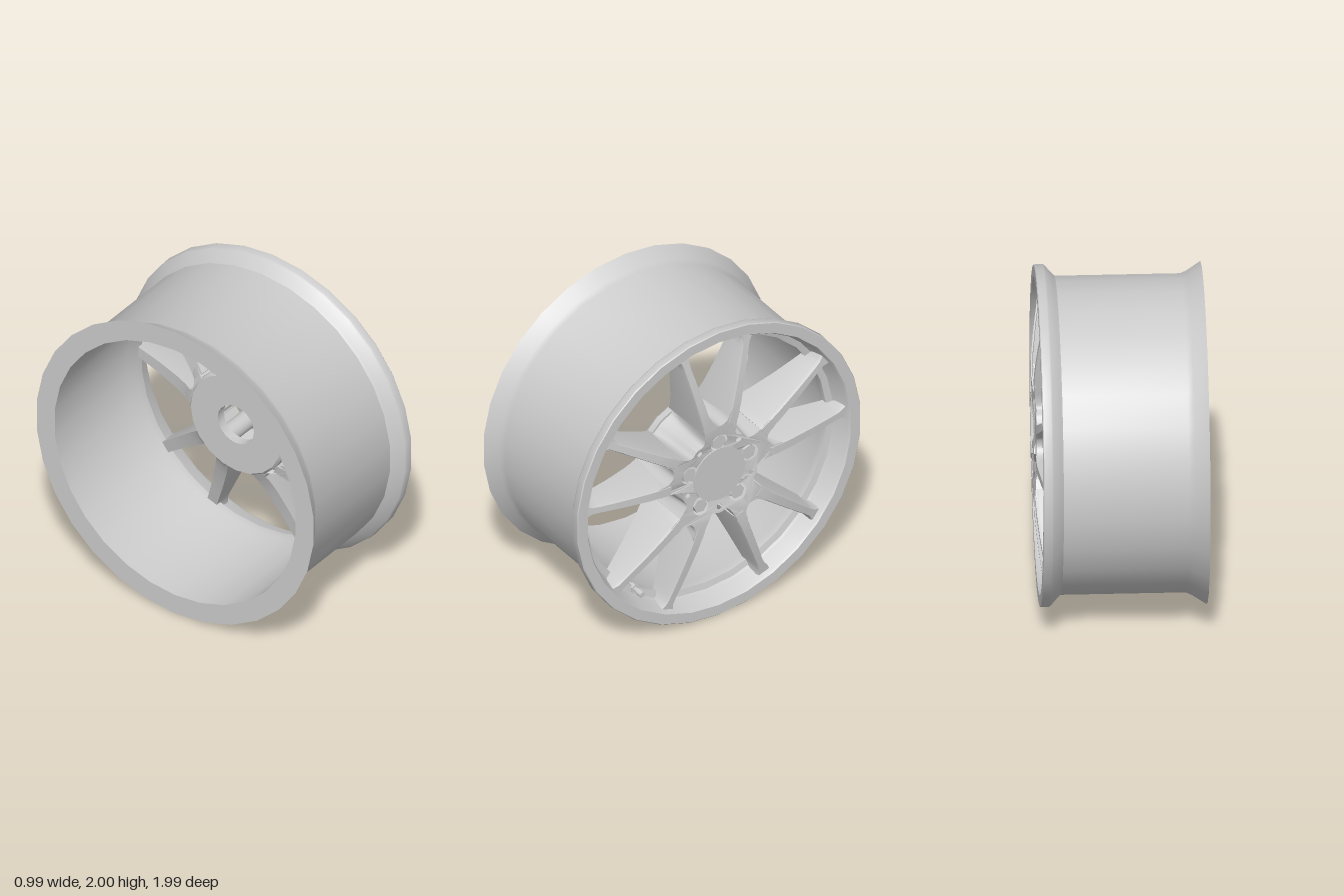
import * as THREE from 'three';
import { toCreasedNormals } from 'three/addons/utils/BufferGeometryUtils.js';

const material = new THREE.MeshStandardMaterial({ color: 0xcccccc });
const rad = THREE.MathUtils.degToRad;
const lerp = THREE.MathUtils.lerp;

// Point at radius r, angle in degrees clockwise from the top
const polar = (deg, r) => new THREE.Vector2(r * Math.sin(rad(deg)), r * Math.cos(rad(deg)));

// Piecewise linear lookup in [x, y] pairs
function sample(table, x) {
  if (x <= table[0][0]) return table[0][1];
  for (let i = 1; i < table.length; i++) {
    const [x0, y0] = table[i - 1], [x1, y1] = table[i];
    if (x <= x1) return lerp(y0, y1, (x - x0) / (x1 - x0));
  }
  return table[table.length - 1][1];
}

// Height of the front face by radius: dished centre, crest, then falling to the rim
const faceHeight = r => sample([[0.2, 0.465], [0.3, 0.487], [0.46, 0.49], [0.68, 0.468], [0.91, 0.435]], r);
const spokeBack = r => sample([[0.33, 0.13], [0.45, 0.19], [0.65, 0.25], [0.91, 0.31]], r);

function add(parent, name, geometry) {
  const mesh = new THREE.Mesh(geometry, material);
  mesh.name = name;
  parent.add(mesh);
  return mesh;
}

// Cylinder along the axle between two depths
function disc(r0, r1, z0, z1, sides) {
  return toCreasedNormals(new THREE.CylinderGeometry(r1, r0, z1 - z0, sides)
    .rotateX(Math.PI / 2).translate(0, 0, (z0 + z1) / 2), 0.6);
}

function ring(profile, sides) {
  const points = profile.map(([r, z]) => new THREE.Vector2(r, z));
  return toCreasedNormals(new THREE.LatheGeometry(points, sides).rotateX(Math.PI / 2), 0.6);
}

// Star-shaped hub with bolt pockets; side scoops slope outward to the back
function hubGeometry() {
  const half = [[36, 0.272], [25, 0.268], [19.5, 0.33], [17.2, 0.44], [10.5, 0.44], [7.5, 0.375], [0, 0.347]];
  const sector = [...half.map(([a, r]) => [-a, r]), ...half.slice(1, -1).reverse()];
  const outline = [];
  for (let k = 0; k < 5; k++)
    for (const [a, r] of sector) {
      const p = polar(a + 72 * k, r);
      outline.push(new THREE.Vector3(p.x, p.y, 0));
    }
  const curve = new THREE.CatmullRomCurve3(outline, true);
  const shape = new THREE.Shape(curve.getPoints(240).slice(0, -1).map(p => new THREE.Vector2(p.x, p.y)));
  const hole = (c, r) => shape.holes.push(new THREE.Path().absarc(c.x, c.y, r, 0, Math.PI * 2, true));
  hole(new THREE.Vector2(), 0.13);
  for (let k = 0; k < 5; k++) {
    hole(polar(72 * k, 0.22), 0.058);
    hole(polar(72 * k + 36, 0.233), 0.017);
  }
  const geometry = new THREE.ExtrudeGeometry(shape, { depth: 1, bevelEnabled: false, steps: 3, curveSegments: 8 });
  const pos = geometry.attributes.position;
  for (let i = 0; i < pos.count; i++) {
    const x = pos.getX(i), y = pos.getY(i), t = pos.getZ(i);
    const r = Math.hypot(x, y);
    const a = THREE.MathUtils.euclideanModulo(Math.atan2(x, y) * 180 / Math.PI + 36, 72) - 36;
    const scoop = r > 0.255 && r < 0.335 && Math.abs(a) > 16;
    const s = scoop ? lerp(0.335, r, Math.sqrt(t)) / r : 1;
    const back = sample([[0.33, 0.12], [0.44, 0.19]], r);
    pos.setXYZ(i, x * s, y * s, lerp(back, faceHeight(r) - 0.003, t));
  }
  return toCreasedNormals(geometry, 0.6);
}

// Tapering spoke lofted through chamfered cross-sections
function spokeGeometry(side) {
  const start = new THREE.Vector2(0.085, 0.34), end = new THREE.Vector2(0.224, 0.88);
  const dir = end.clone().sub(start).normalize();
  const stations = [0, 0.12, 0.25, 0.4, 0.55, 0.7, 0.85, 0.94, 1.01];
  const positions = [], index = [], n = 6;
  for (const t of stations) {
    const c = start.clone().lerp(end, t), r = c.length();
    const flare = t > 0.93 ? (t - 0.93) * 0.25 : 0;
    const w = lerp(0.028, 0.019, t) + flare;
    const base = lerp(0.046, 0.033, t) + flare;
    const f = faceHeight(r), b = spokeBack(r);
    const section = [[w, f], [w + 0.008, f - 0.02], [base, b], [-base, b], [-w - 0.008, f - 0.02], [-w, f]];
    for (const [u, z] of section) positions.push(side * (c.x + dir.y * u), c.y - dir.x * u, z);
  }
  const tri = (a, b, c) => side > 0 ? index.push(a, b, c) : index.push(a, c, b);
  for (let i = 0; i < stations.length - 1; i++)
    for (let j = 0; j < n; j++) {
      const a = i * n + j, b = i * n + (j + 1) % n;
      tri(a, b, a + n);
      tri(b, b + n, a + n);
    }
  const last = (stations.length - 1) * n;
  for (let j = 1; j < n - 1; j++) {
    tri(0, j + 1, j);
    tri(last, last + j, last + j + 1);
  }
  const geometry = new THREE.BufferGeometry();
  geometry.setAttribute('position', new THREE.Float32BufferAttribute(positions, 3));
  geometry.setIndex(index);
  return toCreasedNormals(geometry, 0.5);
}

export function createModel() {
  const model = new THREE.Group();
  model.name = 'wheelRim';

  // The wheel is built facing +z, then turned to face +x
  const wheel = new THREE.Group();
  wheel.name = 'wheel';
  wheel.rotation.y = Math.PI / 2;
  wheel.position.y = 1;
  model.add(wheel);

  // Barrel with flared lips and the inner ledge carrying the spokes
  add(wheel, 'barrel', ring([
    [0.87, -0.5], [1, -0.5], [0.945, -0.415], [0.93, -0.38], [0.93, 0.35], [0.945, 0.365], [0.995, 0.41],
    [1, 0.42], [1, 0.465], [0.995, 0.47], [0.93, 0.47], [0.92, 0.455], [0.9, 0.36], [0.89, 0.34],
    [0.85, 0.33], [0.85, 0.28], [0.87, 0.22], [0.87, -0.5],
  ], 30));

  // Hub, mounting pad and centre cap
  add(wheel, 'hub', hubGeometry());
  add(wheel, 'mountingPad', ring([[0.13, 0.1], [0.325, 0.1], [0.34, 0.12], [0.34, 0.16], [0.13, 0.16], [0.13, 0.1]], 20));
  add(wheel, 'centreCap', disc(0.18, 0.18, 0.445, 0.472, 20));

  // Five pairs of spokes with a bolt between each pair
  const spokes = [spokeGeometry(1), spokeGeometry(-1)];
  const bolt = disc(0.048, 0.048, 0.36, 0.468, 6);
  const washer = disc(0.059, 0.057, 0.13, 0.42, 16);
  for (let k = 0; k < 5; k++) {
    const arm = new THREE.Group();
    arm.name = 'spokePair';
    arm.rotation.z = -rad(72 * k);
    wheel.add(arm);
    for (const g of spokes) add(arm, 'spoke', g);
    add(arm, 'boltSeat', washer).position.y = 0.22;
    add(arm, 'wheelBolt', bolt).position.y = 0.22;
  }

  // Valve stem on the ledge
  const valve = new THREE.Group();
  valve.name = 'valve';
  valve.position.set(-0.505, -0.69, 0);
  wheel.add(valve);
  add(valve, 'valveNut', disc(0.028, 0.028, 0.31, 0.345, 6));
  add(valve, 'valveStem', disc(0.015, 0.015, 0.27, 0.4, 10));
  add(valve, 'valveCap', disc(0.021, 0.018, 0.375, 0.42, 10));

  return model;
}
